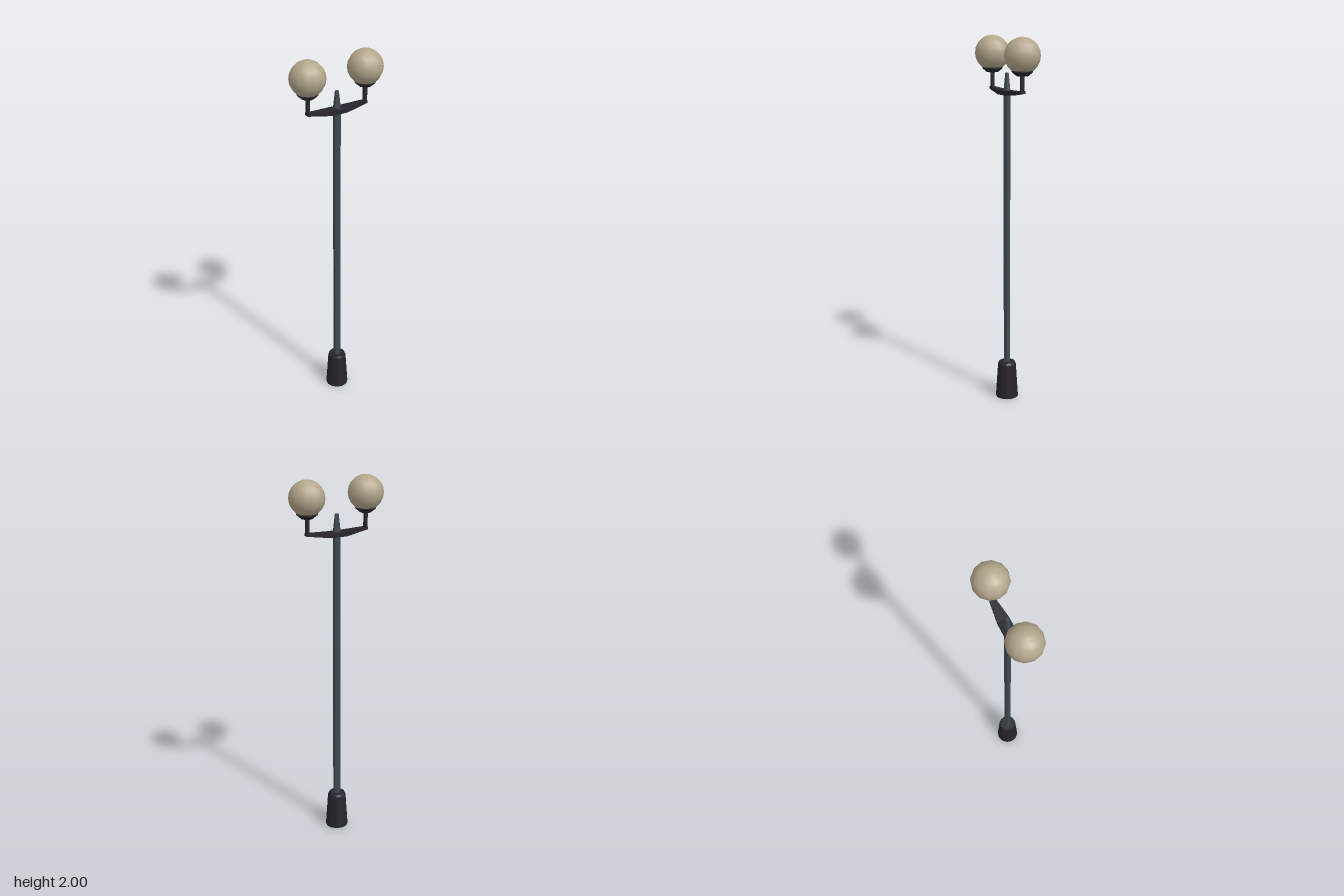
import * as THREE from 'three';

const dark = new THREE.MeshStandardMaterial({ color: 0x27252c, flatShading: true });
const steel = new THREE.MeshStandardMaterial({ color: 0x3e4a53, flatShading: true });
const glass = new THREE.MeshStandardMaterial({ color: 0xb3a68b });

function add(parent, name, geometry, material, x = 0, y = 0) {
  const mesh = new THREE.Mesh(geometry, material);
  mesh.name = name;
  mesh.position.set(x, y, 0);
  parent.add(mesh);
  return mesh;
}

// Turned solid from [radius, height] pairs, listed bottom to top
function turned(points, sides) {
  return new THREE.LatheGeometry(points.map(([r, y]) => new THREE.Vector2(r, y)), sides);
}

// Cross bar that narrows towards both ends and rises slightly
function crossBar() {
  const geometry = new THREE.BoxGeometry(0.36, 1, 1, 8, 1, 1);
  const p = geometry.attributes.position;
  for (let i = 0; i < p.count; i++) {
    const x = p.getX(i);
    const t = Math.max(0, (Math.abs(x) - 0.045) / 0.135);
    const top = THREE.MathUtils.lerp(1.718, 1.727, t);
    const bottom = THREE.MathUtils.lerp(1.694, 1.713, t);
    p.setY(i, p.getY(i) > 0 ? top : bottom);
    p.setZ(i, Math.sign(p.getZ(i)) * THREE.MathUtils.lerp(0.031, 0.013, t));
  }
  geometry.computeVertexNormals();
  return geometry;
}

export function createModel() {
  const model = new THREE.Group();
  model.name = 'streetLamp';

  // Tapered foot with a chamfered top
  add(model, 'base', turned([[0, 0], [0.0625, 0], [0.05, 0.192], [0.044, 0.204], [0, 0.204]], 12), dark);

  // Hexagonal pole ending in a tapered tip
  add(model, 'pole', turned([[0.02, 0.19], [0.02, 1.72], [0.01, 1.81], [0, 1.81]], 6), steel);

  add(model, 'crossBar', crossBar(), dark);

  // One lamp at each end of the bar
  for (const side of [-1, 1]) {
    const lamp = new THREE.Group();
    lamp.name = side > 0 ? 'leftLamp' : 'rightLamp';
    lamp.position.x = side * 0.172;
    add(lamp, 'stem', new THREE.CylinderGeometry(0.012, 0.012, 0.09, 8), dark, 0, 1.763);
    add(lamp, 'cup', turned([[0, 1.803], [0.03, 1.803], [0.055, 1.823], [0.055, 1.83], [0, 1.83]], 12), dark);
    add(lamp, 'globe', new THREE.SphereGeometry(0.094, 12, 10), glass, 0, 1.906);
    model.add(lamp);
  }
  return model;
}
